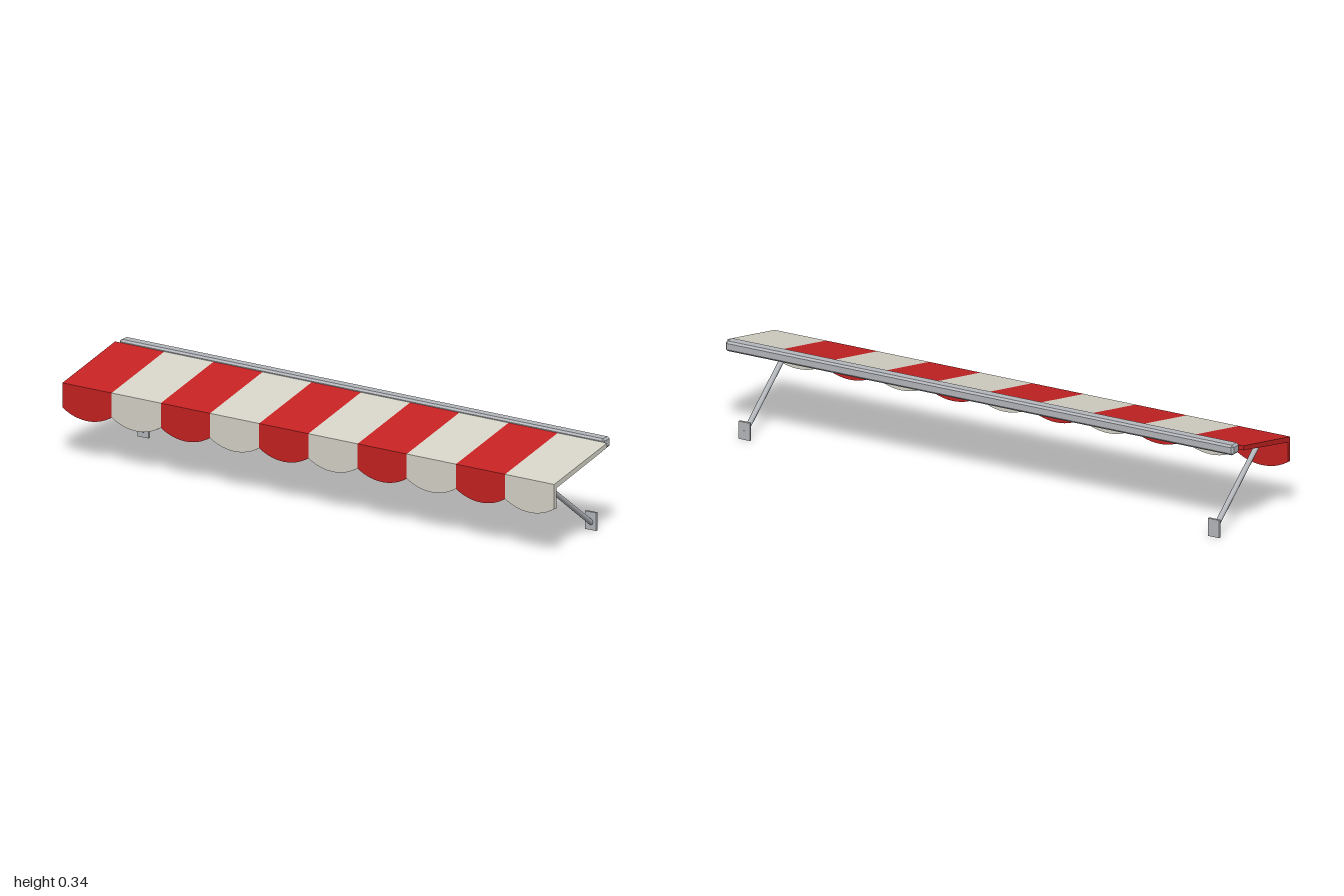
import * as THREE from 'three';
import { ConvexGeometry } from 'three/addons/geometries/ConvexGeometry.js';

const material = (name, color) => {
  const m = new THREE.MeshStandardMaterial({ color });
  m.name = name;
  return m;
};

export function createModel() {
  const red = material('red fabric', 0xc62222);
  const cream = material('cream fabric', 0xd6d4c8);
  const metal = material('grey metal', 0xb4b7bc);
  const model = new THREE.Group();
  model.name = 'awning';

  const add = (name, geometry, mat, parent = model) => {
    const mesh = new THREE.Mesh(geometry, mat);
    mesh.name = name;
    parent.add(mesh);
    return mesh;
  };

  // Fabric: ten striped panels, each a sloping slab and a scalloped valance
  const count = 10, width = 2 / count;
  const front = 0.176, inner = 0.162, fold = 0.246;

  // Side profile of the slab as (z, y), extruded along x
  const slabShape = new THREE.Shape([
    [inner, fold], [front, fold], [front, 0.262], [-0.132, 0.328], [-0.132, 0.312],
  ].map(([z, y]) => new THREE.Vector2(z, y)));
  const slab = new THREE.ExtrudeGeometry(slabShape, { depth: width, bevelEnabled: false });
  slab.rotateY(-Math.PI / 2).translate(width / 2, 0, 0);

  // Valance with one rounded scallop along its bottom edge
  const half = width / 2, corner = 0.176, sag = 0.03;
  const radius = (half * half + sag * sag) / (2 * sag);
  const valanceShape = new THREE.Shape();
  valanceShape.moveTo(half, fold);
  valanceShape.lineTo(-half, fold);
  for (let i = 0; i <= 12; i++) {
    const x = -half + (width * i) / 12;
    valanceShape.lineTo(x, corner - sag + radius - Math.sqrt(radius * radius - x * x));
  }
  const valance = new THREE.ExtrudeGeometry(valanceShape, { depth: front - inner, bevelEnabled: false });
  valance.translate(0, 0, inner);

  for (let i = 0; i < count; i++) {
    const panel = new THREE.Group();
    panel.name = `panel${i + 1}`;
    panel.position.x = -1 + width * (i + 0.5);
    const fabric = i % 2 ? cream : red;
    add('canopy', slab, fabric, panel);
    add('valance', valance, fabric, panel);
    model.add(panel);
  }

  // Roller housing: a long box chamfered on every edge
  const size = [0.985, 0.018, 0.022], chamfer = 0.007;
  const points = [];
  for (const sx of [-1, 1]) for (const sy of [-1, 1]) for (const sz of [-1, 1]) {
    for (let full = 0; full < 3; full++) {
      const [x, y, z] = size.map((s, axis) => (axis === full ? s : s - chamfer));
      points.push(new THREE.Vector3(sx * x, sy * y, sz * z));
    }
  }
  add('rollerHousing', new ConvexGeometry(points), metal).position.set(0, 0.32, -0.154);

  // Support arms with wall plates, mirrored left and right
  const foot = new THREE.Vector3(0, 0.025, -0.17);
  const tip = new THREE.Vector3(0, 0.234, 0.112);
  const along = tip.clone().sub(foot);
  const armGeometry = new THREE.CylinderGeometry(0.0095, 0.0095, along.length(), 8);
  const plateGeometry = new THREE.BoxGeometry(0.044, 0.063, 0.009);
  for (const side of [-1, 1]) {
    const support = new THREE.Group();
    support.name = side > 0 ? 'leftSupport' : 'rightSupport';
    support.position.x = side * 0.91;
    const arm = add('arm', armGeometry, metal, support);
    arm.position.copy(foot).add(tip).multiplyScalar(0.5);
    arm.quaternion.setFromUnitVectors(new THREE.Vector3(0, 1, 0), along.clone().normalize());
    add('wallPlate', plateGeometry, metal, support).position.set(0, 0.0315, -0.1705);
    model.add(support);
  }
  return model;
}
